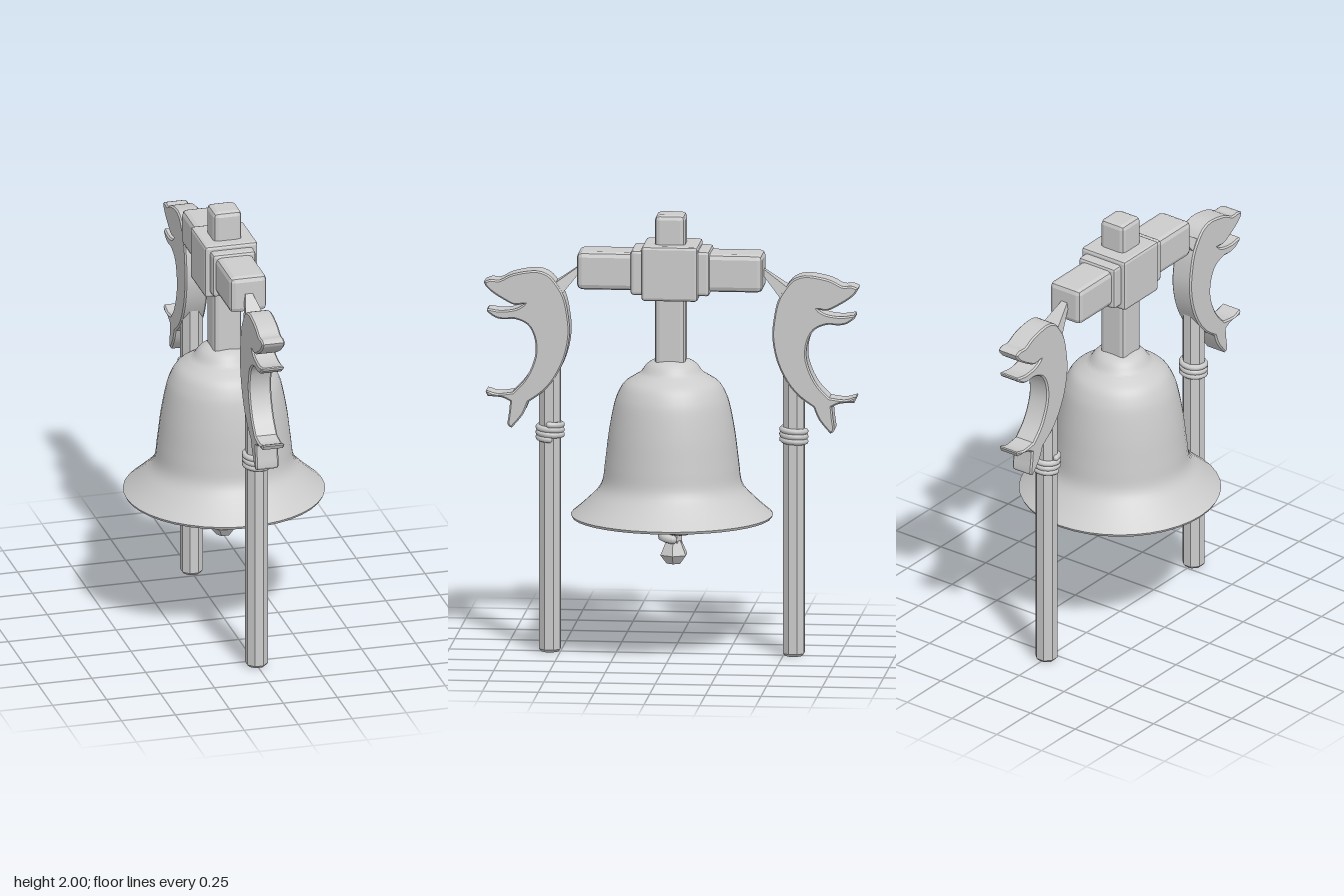
import * as THREE from 'three';
import { toCreasedNormals } from 'three/addons/utils/BufferGeometryUtils.js';
import { RoundedBoxGeometry } from 'three/addons/geometries/RoundedBoxGeometry.js';

const smooth = new THREE.MeshStandardMaterial({ color: 0xcccccc });
const flat = new THREE.MeshStandardMaterial({ color: 0xcccccc, flatShading: true });
const vec2 = (list) => list.map(([x, y]) => new THREE.Vector2(x, y));

function add(parent, name, geometry, material, x = 0, y = 0, z = 0) {
  const mesh = new THREE.Mesh(geometry, material);
  mesh.name = name;
  mesh.position.set(x, y, z);
  parent.add(mesh);
  return mesh;
}

// Box with chamfered edges
const block = (w, h, d, bevel) => new RoundedBoxGeometry(w, h, d, 1, bevel);

// Faceted turned part
function turned(profile, sides) {
  const geometry = new THREE.LatheGeometry(vec2(profile), sides);
  return geometry.rotateY(Math.PI / sides);
}

// Rope wound around a vertical rod, with closed ends
function coil(parent, name, radius, tube, y0, y1, turns, z) {
  const points = [];
  const steps = Math.round(turns * 12);
  for (let i = 0; i <= steps; i++) {
    const a = (i / steps) * turns * Math.PI * 2;
    points.push(new THREE.Vector3(radius * Math.cos(a), y0 + (y1 - y0) * i / steps, radius * Math.sin(a)));
  }
  const curve = new THREE.CatmullRomCurve3(points);
  add(parent, name, new THREE.TubeGeometry(curve, steps * 2, tube, 8), smooth, 0, 0, z);
  for (const p of [points[0], points[steps]]) {
    add(parent, name + 'End', new THREE.SphereGeometry(tube, 8, 6), smooth, p.x, p.y, p.z + z);
  }
}

// Dolphin outline: smooth runs between sharp corners, as [z, y]
const dolphinRuns = [
  [[0.84, 1.68], [0.81, 1.692], [0.77, 1.69], [0.72, 1.715], [0.66, 1.73], [0.6, 1.735], [0.55, 1.718],
    [0.515, 1.68], [0.48, 1.62], [0.462, 1.54], [0.455, 1.45], [0.475, 1.345], [0.52, 1.25], [0.575, 1.185], [0.64, 1.138]],
  [[0.64, 1.138], [0.665, 1.08], [0.715, 1.02]],
  [[0.715, 1.02], [0.733, 1.035], [0.727, 1.09], [0.722, 1.14]],
  [[0.722, 1.14], [0.76, 1.157], [0.823, 1.162]],
  [[0.823, 1.162], [0.83, 1.187], [0.78, 1.174], [0.71, 1.182]],
  [[0.71, 1.182], [0.66, 1.235], [0.625, 1.3], [0.607, 1.37], [0.616, 1.44], [0.645, 1.49], [0.7, 1.514],
    [0.75, 1.512], [0.79, 1.52], [0.825, 1.545]],
  [[0.825, 1.545], [0.822, 1.559], [0.77, 1.552], [0.72, 1.556], [0.685, 1.566], [0.656, 1.585]],
  [[0.656, 1.585], [0.7, 1.578], [0.745, 1.598], [0.8, 1.632], [0.83, 1.66], [0.84, 1.68]],
];

function dolphinGeometry() {
  const outline = [];
  for (const run of dolphinRuns) {
    outline.push(...new THREE.SplineCurve(vec2(run)).getPoints((run.length - 1) * 3).slice(0, -1));
  }
  const bevel = 0.007;
  const width = 0.106;
  const geometry = new THREE.ExtrudeGeometry(new THREE.Shape(outline), {
    depth: width - 2 * bevel, bevelThickness: bevel, bevelSize: bevel, bevelOffset: -bevel, bevelSegments: 1,
  });
  geometry.translate(0, 0, bevel - width / 2).rotateY(-Math.PI / 2);
  return toCreasedNormals(geometry, 0.5);
}

// Post, rope binding and dolphin for one end, facing +z
function createSupport(name) {
  const support = new THREE.Group();
  support.name = name;
  add(support, 'post', turned([[0, 0], [0.04, 0], [0.051, 0.012], [0.051, 1.36], [0.04, 1.372], [0, 1.372]], 8),
    flat, 0, 0, 0.547);
  coil(support, 'postBinding', 0.052, 0.014, 0.968, 1.036, 3, 0.547);
  add(support, 'dolphin', dolphinGeometry(), smooth);

  // Dorsal fin tapering up to the crossbeam
  const fin = add(support, 'dorsalFin', new THREE.CylinderGeometry(0.022, 0.07, 0.16, 4).rotateY(Math.PI / 4),
    flat, 0, 1.693, 0.466);
  fin.scale.z = 0.65;
  fin.rotation.x = -0.82;
  return support;
}

export function createModel() {
  const model = new THREE.Group();
  model.name = 'bellStand';

  // Crossed timbers with a stepped joint
  const frame = new THREE.Group();
  frame.name = 'frame';
  model.add(frame);
  add(frame, 'crossbeam', block(0.172, 0.172, 0.835, 0.024), flat, 0, 1.744, 0.003);
  add(frame, 'jointCollar', block(0.2, 0.204, 0.355, 0.014), flat, 0, 1.743, 0);
  add(frame, 'jointBlock', block(0.245, 0.248, 0.254, 0.014), flat, 0, 1.743, 0);
  add(frame, 'hangerPost', block(0.132, 0.72, 0.136, 0.022), flat, 0, 1.64, 0.004);

  // Bell: inner wall down, lip, outer wall up
  const inner = new THREE.SplineCurve(vec2([[0, 1.27], [0.12, 1.245], [0.19, 1.205], [0.225, 1.15],
    [0.262, 1], [0.293, 0.77], [0.355, 0.695], [0.435, 0.624]])).getPoints(28);
  const outer = new THREE.SplineCurve(vec2([[0.452, 0.634], [0.374, 0.703], [0.316, 0.772], [0.3, 0.87],
    [0.284, 1], [0.262, 1.12], [0.243, 1.18], [0.213, 1.23], [0.165, 1.263], [0.14, 1.279],
    [0.11, 1.317], [0.07, 1.337], [0, 1.344]])).getPoints(48);
  const profile = [...inner, new THREE.Vector2(0.446, 0.622), ...outer];
  add(model, 'bell', toCreasedNormals(new THREE.LatheGeometry(profile, 40), 0.6), smooth);

  // Clapper with faceted knob and rope
  const clapper = new THREE.Group();
  clapper.name = 'clapper';
  clapper.position.z = -0.008;
  model.add(clapper);
  add(clapper, 'clapperRod', new THREE.CylinderGeometry(0.036, 0.036, 0.78, 6), flat, 0, 0.89, 0);
  add(clapper, 'clapperKnob', turned([[0, 0.41], [0.035, 0.41], [0.066, 0.45], [0.036, 0.515], [0, 0.515]], 6), flat);
  coil(clapper, 'clapperRope', 0.052, 0.02, 0.525, 0.59, 1.6, 0);

  // Matching supports at both ends
  model.add(createSupport('frontSupport'));
  const back = createSupport('backSupport');
  back.rotation.y = Math.PI;
  model.add(back);
  return model;
}
